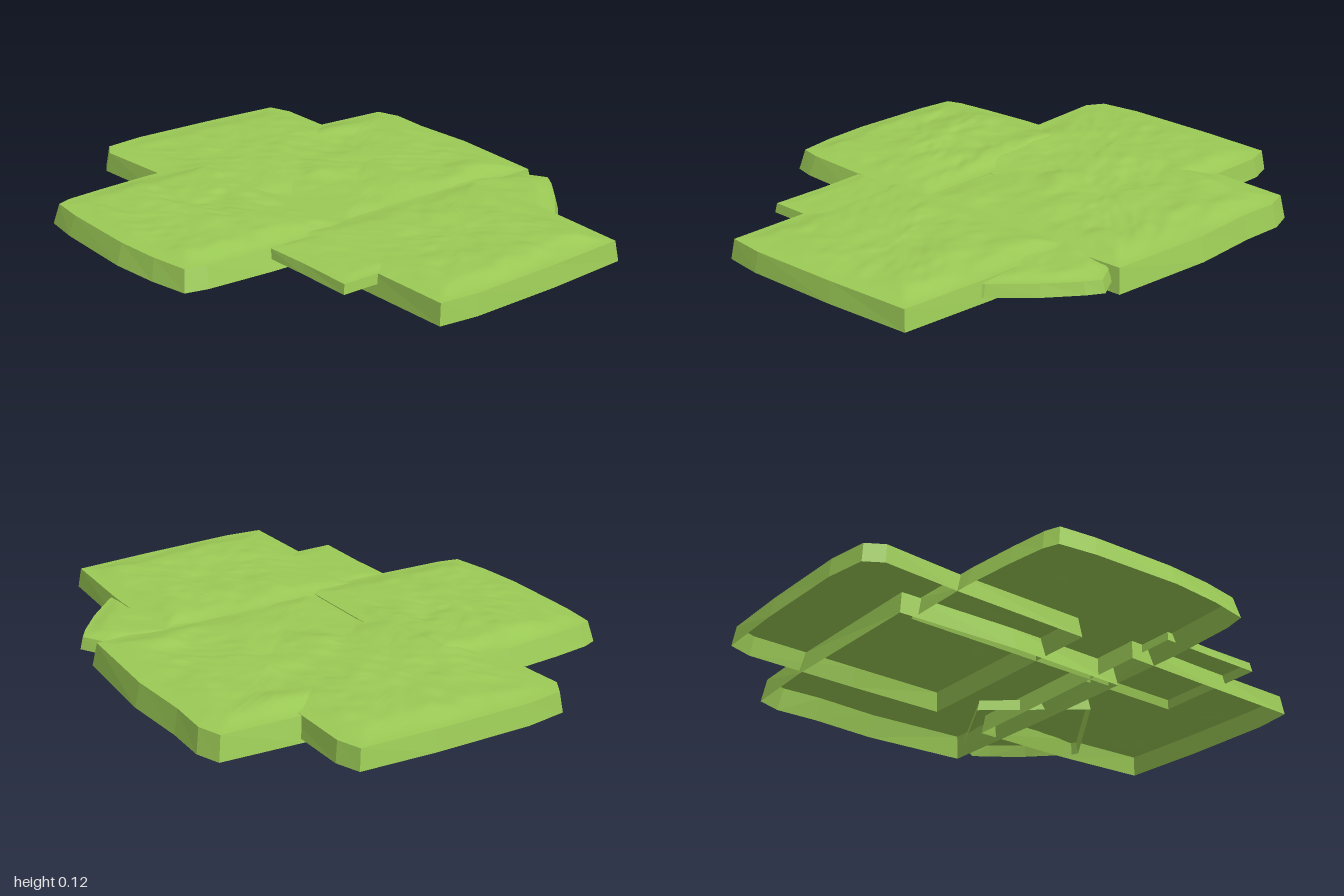
import * as THREE from 'three';

const grass = new THREE.MeshStandardMaterial({ color: 0x9ccb56, side: THREE.DoubleSide });
grass.name = 'grass green';

// Seeded value noise in -1..1
const hash = (i, j) => {
  const s = Math.sin(i * 127.1 + j * 311.7 + 17.3) * 43758.5453;
  return (s - Math.floor(s)) * 2 - 1;
};
const ease = (t) => t * t * (3 - 2 * t);
function noise(x, z) {
  const i = Math.floor(x), j = Math.floor(z);
  const u = ease(x - i), v = ease(z - j);
  const a = hash(i, j) + (hash(i + 1, j) - hash(i, j)) * u;
  const b = hash(i, j + 1) + (hash(i + 1, j + 1) - hash(i, j + 1)) * u;
  return a + (b - a) * v;
}
const ground = (x, z) =>
  0.7 * noise(x * 5 + 3, z * 6) + 0.35 * noise(x * 12 + z * 5, z * 17) + 0.2 * noise(x * 26, z * 36 + x * 12);

// Split each outline edge into short steps
function resample(points, step) {
  const out = [];
  points.forEach(([x, z], i) => {
    const [x2, z2] = points[(i + 1) % points.length];
    const n = Math.max(1, Math.round(Math.hypot(x2 - x, z2 - z) / step));
    for (let k = 0; k < n; k++) out.push([x + ((x2 - x) * k) / n, z + ((z2 - z) * k) / n]);
  });
  return out;
}

function buildGeometry(positions, index) {
  const g = new THREE.BufferGeometry();
  g.setAttribute('position', new THREE.Float32BufferAttribute(positions, 3));
  g.setIndex(index);
  return g;
}

// Hollow slab, open below: bumpy top plus a flared skirt
function createSlab({ name, outline, base, rim, bump, flare }) {
  const group = new THREE.Group();
  group.name = name;
  const xs = outline.map((p) => p[0]), zs = outline.map((p) => p[1]);
  const cx = (Math.min(...xs) + Math.max(...xs)) / 2;
  const cz = (Math.min(...zs) + Math.max(...zs)) / 2;

  // Top: rings of the outline shrinking to the middle
  const edge = resample(outline, 0.025), n = edge.length, rings = 22;
  const pos = [], idx = [];
  for (let r = 0; r <= rings; r++) {
    const s = 1 - r / rings;
    const rise = ease(Math.min(1, (1 - s) / 0.3));
    for (const [px, pz] of edge) {
      const x = cx + (px - cx) * s, z = cz + (pz - cz) * s;
      pos.push(x, rim + rise * bump * (1 + 0.75 * ground(x, z)), z);
    }
  }
  for (let r = 0; r < rings; r++) {
    for (let i = 0; i < n; i++) {
      const j = (i + 1) % n;
      const a = r * n + i, b = r * n + j, c = a + n, d = b + n;
      idx.push(a, c, b);
      if (r < rings - 1) idx.push(b, c, d);
    }
  }
  const topGeometry = buildGeometry(pos, idx);
  topGeometry.computeVertexNormals();
  const top = new THREE.Mesh(topGeometry, grass);
  top.name = name + 'Top';

  // Skirt: flat wall panels leaning outward toward the ground
  const wall = [], wallIdx = [], m = outline.length;
  for (const [x, z] of outline) {
    const f = flare / Math.hypot(x - cx, z - cz);
    wall.push(x, rim, z, x + (x - cx) * f, base, z + (z - cz) * f);
  }
  for (let i = 0; i < m; i++) {
    const a = i * 2, b = ((i + 1) % m) * 2;
    wallIdx.push(a, b, a + 1, b, b + 1, a + 1);
  }
  const skirtGeometry = buildGeometry(wall, wallIdx).toNonIndexed();
  skirtGeometry.computeVertexNormals();
  const skirt = new THREE.Mesh(skirtGeometry, grass);
  skirt.name = name + 'Skirt';

  group.add(top, skirt);
  return group;
}

// Overlapping patches; outlines run clockwise seen from above
const slabs = [
  {
    name: 'backPatch', base: 0, rim: 0.088, bump: 0.017, flare: 0.02,
    outline: [[-0.65, -0.8], [-0.56, -0.83], [-0.4, -0.82], [-0.15, -0.83], [0.24, -0.8], [0.255, -0.3],
      [0.27, 0.12], [-0.2, 0.125], [-0.67, 0.11], [-0.665, -0.5]],
  },
  {
    name: 'rightPatch', base: 0.015, rim: 0.09, bump: 0.015, flare: 0.014,
    outline: [[-0.97, -0.48], [-0.88, -0.51], [-0.45, -0.505], [-0.08, -0.5], [-0.07, 0.33], [-0.6, 0.335],
      [-0.9, 0.355], [-0.965, 0.315], [-0.986, 0.16], [-0.983, -0.2]],
  },
  {
    name: 'leftPatch', base: 0.015, rim: 0.09, bump: 0.015, flare: 0.014,
    outline: [[0.2, -0.56], [0.6, -0.55], [0.95, -0.525], [0.972, -0.2], [0.986, 0.15], [0.972, 0.295],
      [0.6, 0.298], [0.2, 0.31]],
  },
  {
    name: 'frontPatch', base: 0.015, rim: 0.092, bump: 0.018, flare: 0.025,
    outline: [[-0.59, 0.1], [0.275, 0.1], [0.272, 0.45], [0.262, 0.7], [0.245, 0.78], [0.1, 0.805],
      [-0.08, 0.818], [-0.4, 0.81], [-0.535, 0.795], [-0.555, 0.74], [-0.57, 0.6], [-0.585, 0.4]],
  },
  {
    name: 'smallFrontPatch', base: 0.055, rim: 0.09, bump: 0.007, flare: 0.008,
    outline: [[0.25, 0], [0.66, 0], [0.665, 0.44], [0.45, 0.438], [0.25, 0.445]],
  },
  {
    name: 'smallBackPatch', base: 0.035, rim: 0.08, bump: 0.01, flare: 0.012,
    outline: [[0.335, -0.81], [0.39, -0.775], [0.5, -0.685], [0.625, -0.56], [0.64, -0.53], [0.4, -0.17],
      [0.08, -0.44], [0.255, -0.765]],
  },
];

export function createModel() {
  const model = new THREE.Group();
  model.name = 'grassGround';
  slabs.forEach((s) => model.add(createSlab(s)));
  return model;
}
